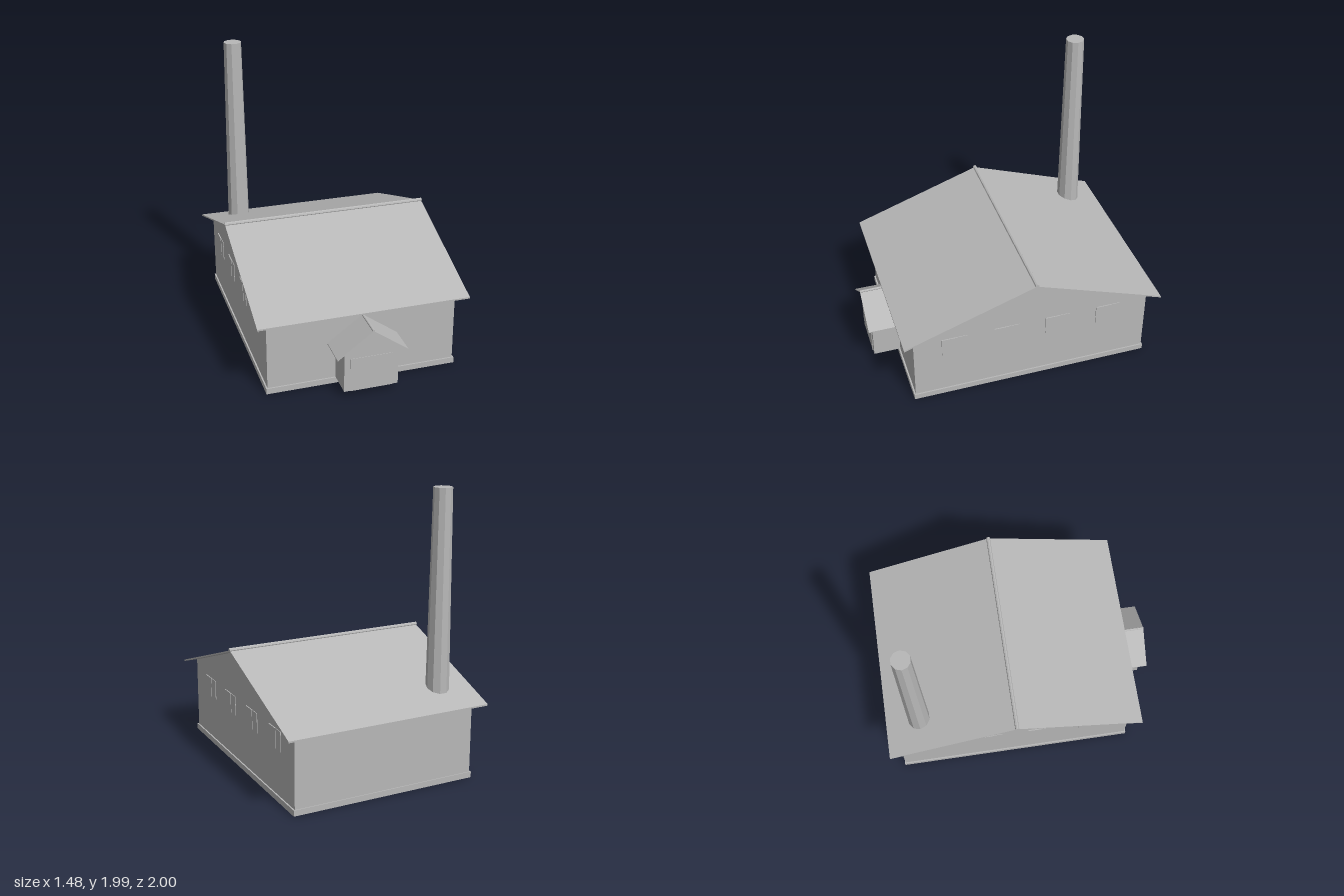
import * as THREE from 'three';

export function createModel() {
  const model = new THREE.Group();
  const grey = new THREE.MeshStandardMaterial({ color: 0xb8b8b8, flatShading: true });
  grey.name = 'plain grey';

  function add(name, geometry, x = 0, y = 0, z = 0, parent = model) {
    const mesh = new THREE.Mesh(geometry, grey);
    mesh.name = name;
    mesh.position.set(x, y, z);
    parent.add(mesh);
    return mesh;
  }
  const box = (w, h, d) => new THREE.BoxGeometry(w, h, d);

  // Extrude a cross-section along z, centred on its length
  function prism(points, length) {
    const shape = new THREE.Shape(points.map(([x, y]) => new THREE.Vector2(x, y)));
    return new THREE.ExtrudeGeometry(shape, { depth: length, bevelEnabled: false })
      .translate(0, 0, -length / 2);
  }
  const gable = (w, bottom, eave, apex) => [[-w, bottom], [w, bottom], [w, eave], [0, apex], [-w, eave]];
  const chevron = (w, eave, apex, t) =>
    [[-w, eave], [0, apex], [w, eave], [w, eave - t], [0, apex - t], [-w, eave - t]].reverse();

  // Main hall, with its ridge running along x
  const ridgeZ = -0.075;
  add('plinth', box(1.34, 0.041, 1.714), 0, 0.0245, ridgeZ + 0.002);
  add('walls', prism(gable(0.848, 0.03, 0.56, 0.858), 1.32).rotateY(Math.PI / 2), 0, 0, ridgeZ);
  add('roof', prism(chevron(0.925, 0.546, 0.872, 0.011), 1.47).rotateY(Math.PI / 2), 0, 0, ridgeZ);
  add('ridgeCap', new THREE.CylinderGeometry(0.014, 0.014, 1.476, 8).rotateZ(Math.PI / 2), 0, 0.874, ridgeZ);

  // Tapered ten-sided chimney standing on the ground
  add('chimney', new THREE.CylinderGeometry(0.064, 0.087, 1.986, 10, 1, false, Math.PI / 2), -0.492, 0.993, -0.753);

  // Entrance porch
  const porch = new THREE.Group();
  porch.name = 'porch';
  model.add(porch);
  add('porchWalls', prism(gable(0.188, 0.045, 0.35, 0.487), 0.215), 0, 0, 0.8575, porch);
  add('porchRoof', prism(chevron(0.245, 0.317, 0.495, 0.007), 0.24), 0, 0, 0.88, porch);
  add('porchRidgeCap', new THREE.CylinderGeometry(0.009, 0.009, 0.24, 8).rotateX(Math.PI / 2), 0, 0.495, 0.88, porch);
  add('door', box(0.29, 0.245, 0.006), 0, 0.1675, 0.966, porch);

  // Four two-leaf windows on each side wall
  for (const side of [-1, 1]) {
    for (let i = 0; i < 4; i++) {
      const win = new THREE.Group();
      win.name = 'window';
      win.position.set(side * 0.66, 0.43, ridgeZ + (i - 1.5) * 0.373);
      model.add(win);
      add('wideLeaf', box(0.014, 0.14, 0.105), 0, 0, side * 0.038, win);
      add('narrowLeaf', box(0.008, 0.14, 0.076), 0, 0, -side * 0.0525, win);
    }
  }
  return model;
}
